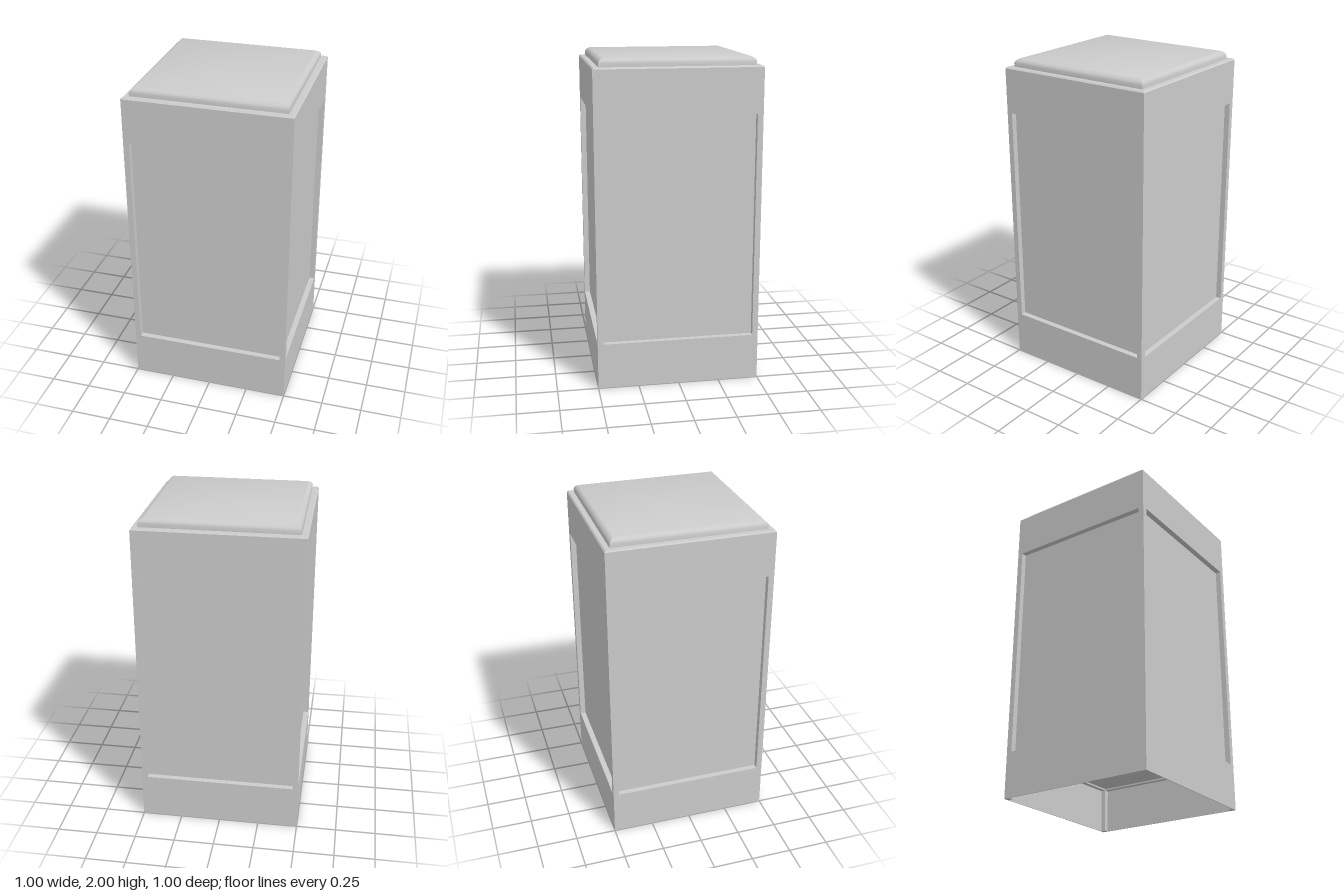
import * as THREE from 'three';
import { toCreasedNormals } from 'three/addons/utils/BufferGeometryUtils.js';

export function createModel() {
  const group = new THREE.Group();
  const material = new THREE.MeshStandardMaterial({ color: 0xcccccc });

  const HALF = 0.5;
  const POST = 0.035;          // post width and panel recess
  const INNER = HALF - POST;
  const PANEL_BOTTOM = 0.285;
  const PANEL_TOP = 1.67;
  const BODY_TOP = 1.95;

  function add(name, geometry, x = 0, y = 0, z = 0, parent = group) {
    const mesh = new THREE.Mesh(geometry, material);
    mesh.name = name;
    mesh.position.set(x, y, z);
    parent.add(mesh);
    return mesh;
  }

  // Square solid from [half width, height] pairs, bottom to top
  function squareLoft(profile) {
    const points = profile.map(([r, y]) => new THREE.Vector2(r * Math.SQRT2, y));
    const geometry = new THREE.LatheGeometry(points, 4, Math.PI / 4);
    return toCreasedNormals(geometry, 0.6);
  }

  // Recessed panels: one inner block whose underside closes the base
  const panelHeight = PANEL_TOP - PANEL_BOTTOM;
  add('recessedPanels', new THREE.BoxGeometry(2 * INNER, panelHeight, 2 * INNER),
    0, PANEL_BOTTOM + panelHeight / 2, 0);

  // Corner posts
  const postGeometry = new THREE.BoxGeometry(POST, PANEL_TOP, POST);
  const offset = HALF - POST / 2;
  for (const sx of [-1, 1]) {
    for (const sz of [-1, 1]) {
      add('cornerPost', postGeometry, sx * offset, PANEL_TOP / 2, sz * offset);
    }
  }

  // Hollow base: thin skirt and an inner ledge on each side
  const skirt = 0.005;
  const ledge = 0.01;
  for (let i = 0; i < 4; i++) {
    const side = new THREE.Group();
    side.name = 'baseSide';
    side.rotation.y = i * Math.PI / 2;
    add('skirt', new THREE.BoxGeometry(2 * INNER, PANEL_BOTTOM, skirt),
      0, PANEL_BOTTOM / 2, HALF - skirt / 2, side);
    add('ledge', new THREE.BoxGeometry(2 * INNER, ledge, POST - skirt),
      0, PANEL_BOTTOM - ledge / 2, INNER + (POST - skirt) / 2, side);
    group.add(side);
  }

  // Upper band with a finely bevelled top edge
  add('upperBand', squareLoft([
    [0, PANEL_TOP], [HALF, PANEL_TOP], [HALF, BODY_TOP - 0.008],
    [HALF - 0.008, BODY_TOP], [0, BODY_TOP],
  ]));

  // Lid with a softened top edge
  add('lid', squareLoft([
    [0, BODY_TOP - 0.01], [0.462, BODY_TOP - 0.01], [0.462, 1.973],
    [0.458, 1.983], [0.448, 1.993], [0.435, 2], [0, 2],
  ]));

  return group;
}
